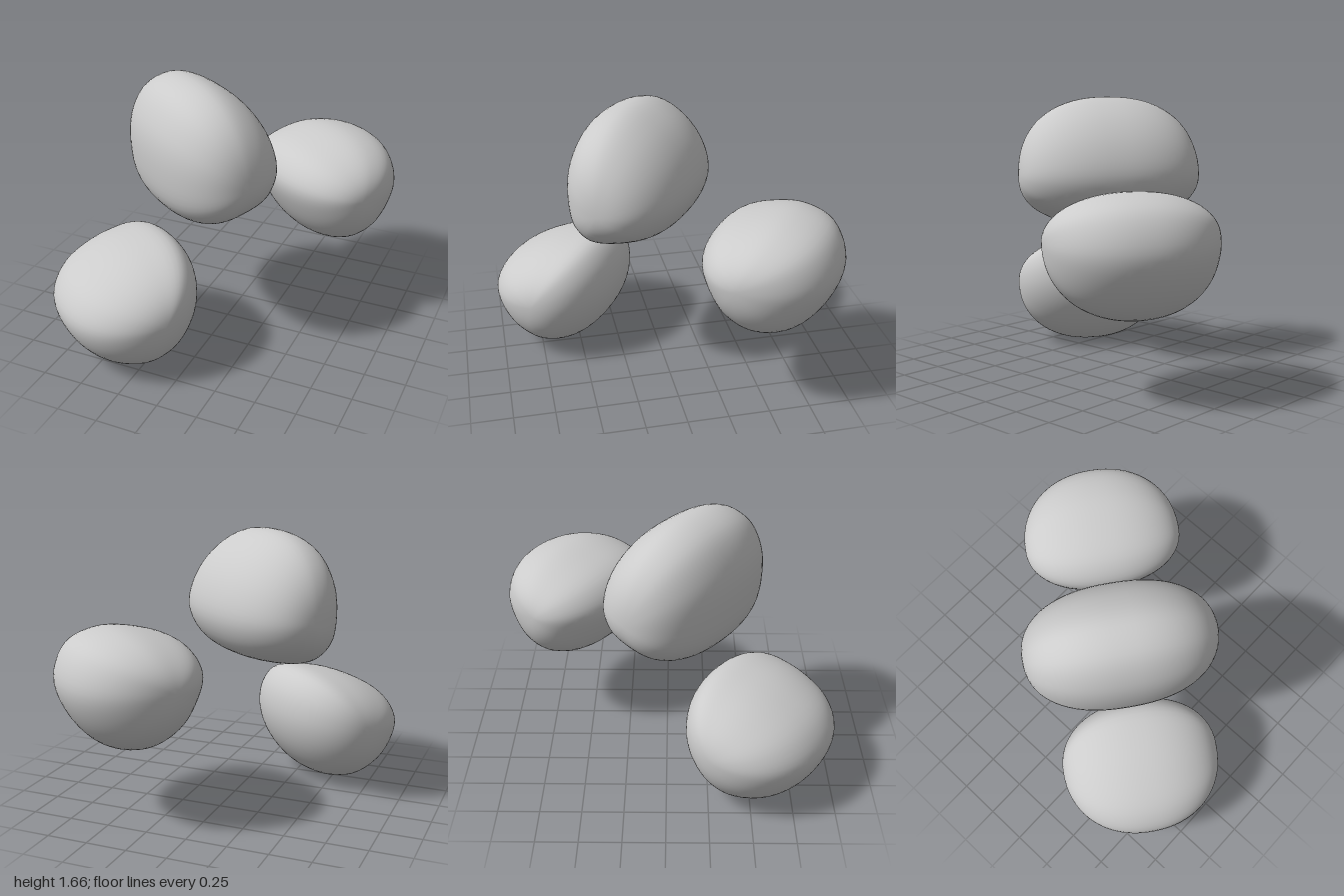
import * as THREE from 'three';
import { mergeVertices } from 'three/addons/utils/BufferGeometryUtils.js';

// Horizontal frame of the group: u runs through the lower lobes, v along each lobe.
const U = new THREE.Vector3(0.6, 0, -0.8);
const V = new THREE.Vector3(0.8, 0, 0.6);

// Each lobe: a closed (u, y) profile, counter-clockwise from +u, that shrinks
// towards the anchor point as it moves out along v to the two rounded ends.
const lobes = [
  {
    name: 'lowerFrontLobe', anchor: [-0.67, 0.42], mid: 0, half: 0.49, power: 2.15,
    profile: [[-0.31, 0.45], [-0.34, 0.63], [-0.44, 0.738], [-0.63, 0.73], [-0.85, 0.66], [-1.04, 0.54],
      [-1.12, 0.39], [-1.07, 0.22], [-0.93, 0.07], [-0.72, 0], [-0.52, 0.07], [-0.37, 0.25]],
  },
  {
    name: 'lowerBackLobe', anchor: [0.66, 0.88], mid: 0, half: 0.49, power: 2.15,
    profile: [[1.13, 0.88], [1.04, 1.08], [0.83, 1.16], [0.62, 1.14], [0.42, 1.06], [0.335, 0.92],
      [0.39, 0.73], [0.52, 0.55], [0.72, 0.46], [0.92, 0.51], [1.07, 0.68]],
  },
  {
    name: 'upperLobe', anchor: [-0.16, 1.18], mid: -0.035, half: 0.567, power: 2.3,
    profile: [[0.2, 1.16], [0.15, 1.37], [0, 1.56], [-0.2, 1.66], [-0.38, 1.6], [-0.49, 1.42],
      [-0.515, 1.2], [-0.47, 0.97], [-0.33, 0.855], [-0.1, 0.88], [0.11, 0.98]],
  },
];

function lobeGeometry({ anchor, mid, half, power, profile }) {
  const curve = new THREE.CatmullRomCurve3(
    profile.map(([u, y]) => new THREE.Vector3(u, y, 0)), true, 'centripetal');
  const sphere = new THREE.SphereGeometry(1, 56, 36);
  sphere.deleteAttribute('uv');
  sphere.deleteAttribute('normal');
  const geometry = mergeVertices(sphere, 1e-4);
  const pos = geometry.attributes.position;
  const p = new THREE.Vector3();
  for (let i = 0; i < pos.count; i++) {
    p.fromBufferAttribute(pos, i);
    const turn = (Math.atan2(-p.z, p.x) / (2 * Math.PI) + 1) % 1;
    const edge = curve.getPoint(turn);
    const scale = Math.pow(Math.hypot(p.x, p.z), 2 / power);
    const v = mid + half * Math.sign(p.y) * Math.pow(Math.abs(p.y), 2 / power);
    const u = anchor[0] + (edge.x - anchor[0]) * scale;
    const y = anchor[1] + (edge.y - anchor[1]) * scale;
    pos.setXYZ(i, U.x * u + V.x * v, y, U.z * u + V.z * v);
  }
  geometry.computeVertexNormals();
  return geometry;
}

export function createModel() {
  const group = new THREE.Group();
  group.name = 'lobeCluster';
  const material = new THREE.MeshStandardMaterial({ color: 0xcccccc });
  for (const lobe of lobes) {
    const mesh = new THREE.Mesh(lobeGeometry(lobe), material);
    mesh.name = lobe.name;
    group.add(mesh);
  }
  return group;
}
